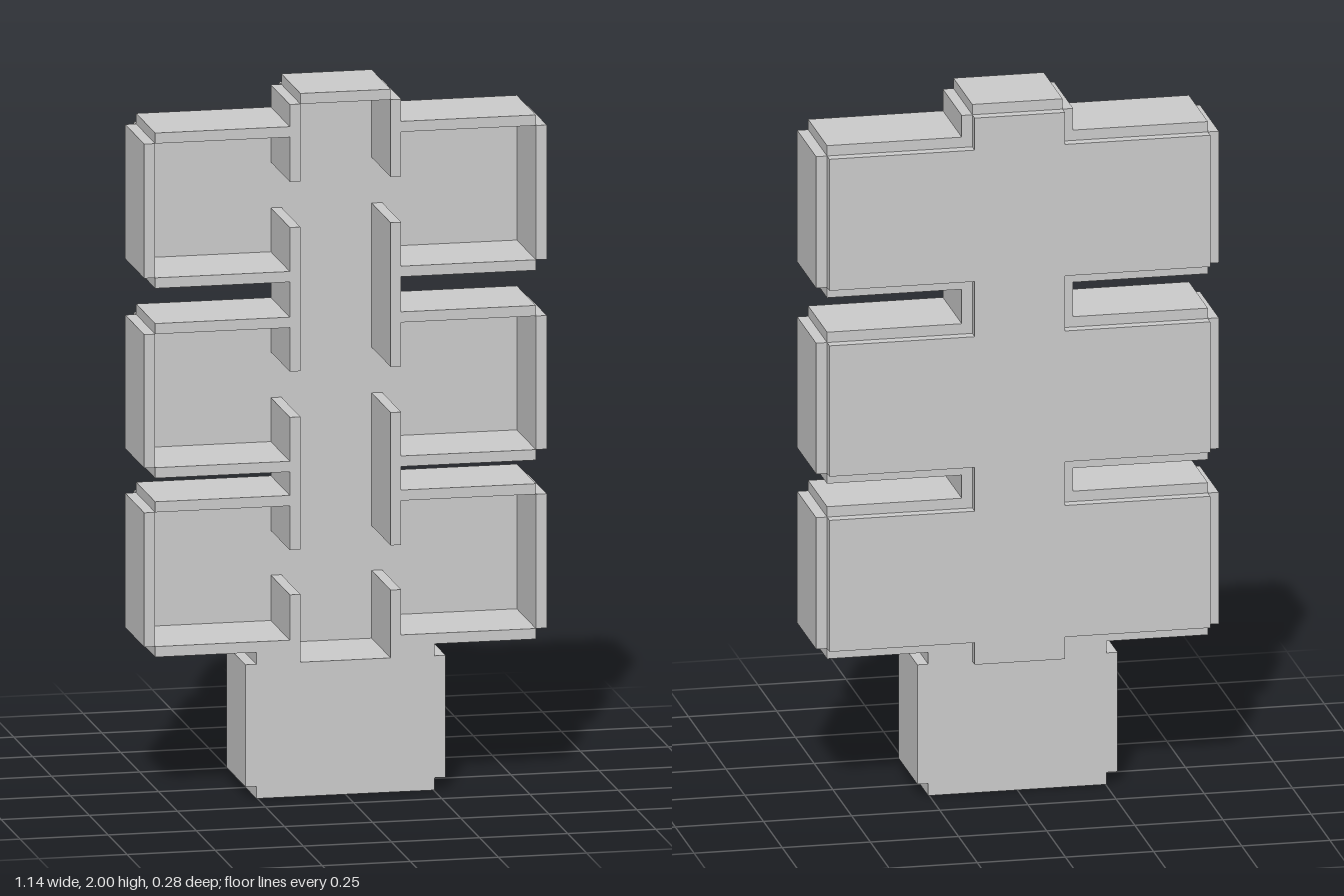
import * as THREE from 'three';

const BACK = -0.142, FLOOR = -0.11, FRONT = 0.142;

export function createModel() {
  const model = new THREE.Group();
  const material = new THREE.MeshStandardMaterial({ color: 0xcccccc, flatShading: true });

  // Box given by its limits on each axis
  function block(name, parent, x0, x1, y0, y1, z0 = FLOOR, z1 = FRONT) {
    const mesh = new THREE.Mesh(new THREE.BoxGeometry(x1 - x0, y1 - y0, z1 - z0), material);
    mesh.position.set((x0 + x1) / 2, (y0 + y1) / 2, (z0 + z1) / 2);
    mesh.name = name;
    parent.add(mesh);
  }
  // Same box on the left and mirrored on the right
  function pair(name, parent, x0, x1, ...rest) {
    block(name + 'Left', parent, x0, x1, ...rest);
    block(name + 'Right', parent, -x1, -x0, ...rest);
  }

  // Central corridor: floor, end wall and side walls broken by doorways
  const corridor = new THREE.Group();
  corridor.name = 'corridor';
  model.add(corridor);
  block('corridorFloor', corridor, -0.128, 0.128, 0.382, 1.97, BACK, FLOOR);
  block('corridorEndWall', corridor, -0.128, 0.128, 1.97, 2);
  for (const [y0, y1] of [[0.382, 0.575], [0.702, 1.08], [1.21, 1.62], [1.75, 1.97]]) {
    pair('corridorWall', corridor, 0.128, 0.158, y0, y1);
  }

  // Three pairs of side rooms, open to the front
  [[0.446, 0.828], [0.955, 1.335], [1.495, 1.877]].forEach(([y0, y1], i) => {
    const rooms = new THREE.Group();
    rooms.name = 'roomPair' + (i + 1);
    model.add(rooms);
    pair('roomFloor', rooms, 0.128, 0.54, y0, y1, BACK, FLOOR);
    pair('outerWall', rooms, 0.54, 0.571, y0, y1);
    pair('lowerWall', rooms, 0.158, 0.54, y0 - 0.03, y0);
    pair('upperWall', rooms, 0.158, 0.54, y1, y1 + 0.03);
  });

  // Closed entrance block with notched corners
  const entrance = new THREE.Group();
  entrance.name = 'entranceBlock';
  model.add(entrance);
  block('entranceBody', entrance, -0.284, 0.284, 0.035, 0.382);
  block('entranceBottom', entrance, -0.253, 0.253, 0, 0.035);
  pair('entranceShoulder', entrance, 0.128, 0.253, 0.382, 0.416);

  return model;
}
